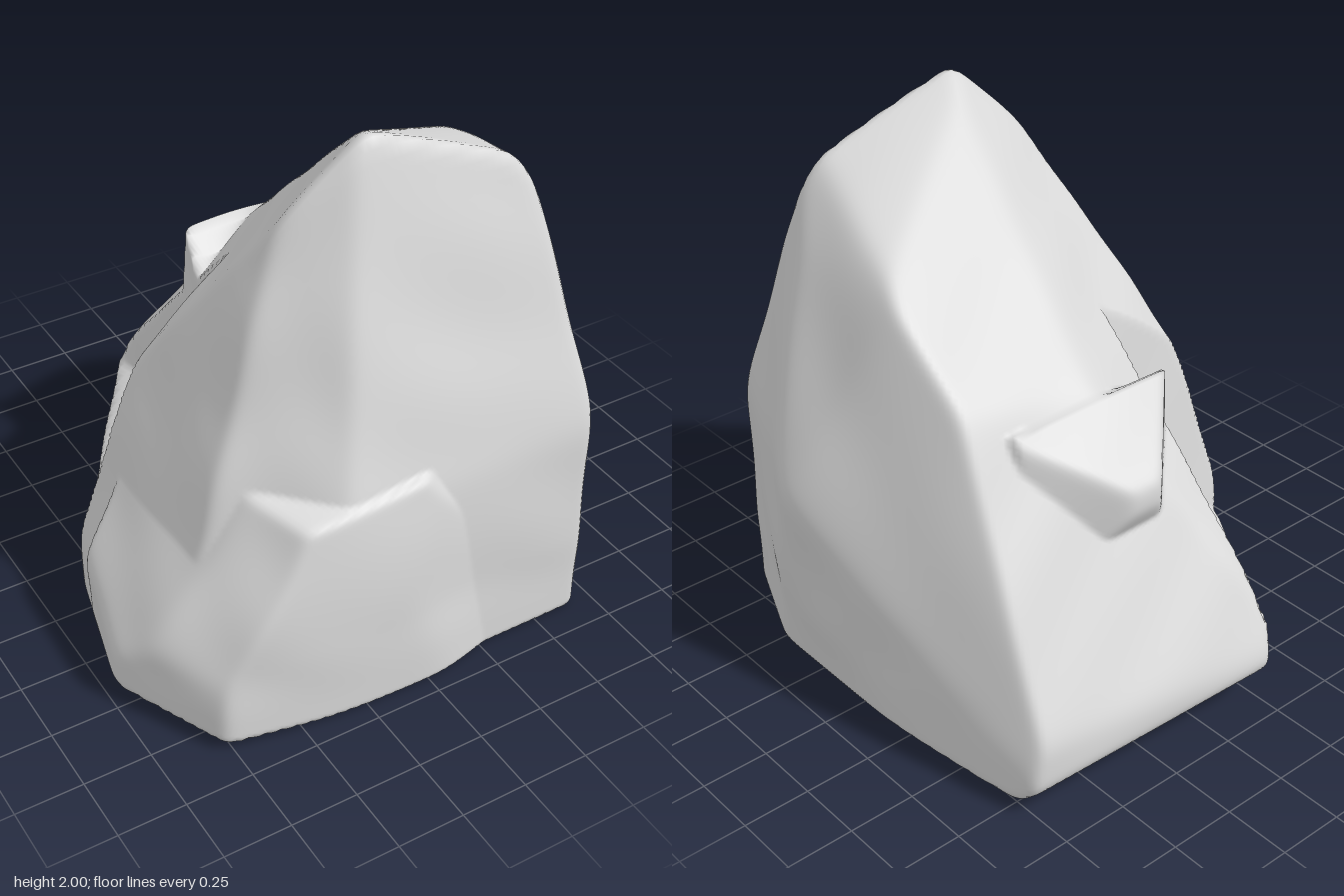
import * as THREE from 'three';
import { mergeVertices } from 'three/addons/utils/BufferGeometryUtils.js';

// The boulder is a union of convex blocks, each cut by planes, shaped by
// casting rays outwards from a point in its core.
const core = new THREE.Vector3(0.1, 0.4, 0.15);

// plane(normal, point): one flat cut of the stone
function plane(nx, ny, nz, px, py, pz) {
  const n = new THREE.Vector3(nx, ny, nz).normalize();
  return { n, d: n.dot(new THREE.Vector3(px, py, pz).sub(core)) };
}

const backSlope = plane(0, 0.743, -0.669, 0, 1.83, 0.27);
const underside = [
  plane(0, -1, 0, 0, 0, 0),
  plane(-0.05, -1, -0.05, 0.1, 0.01, 0.55),
  plane(0.3, -1, 0, 0.7, 0.01, 0),
];
const leftFoot = plane(-0.97, 0, -0.24, -0.91, 0.2, 0.15);
const leftCorner = plane(-0.89, 0, 0.45, -0.93, 0.2, 0.58);

const mainBlock = [
  ...underside,
  backSlope,
  // summit
  plane(0.36, 0.9, -0.25, -0.04, 2.015, 0.55),
  plane(-0.64, 0.77, 0, -0.13, 1.98, 0.5),
  // front
  plane(0, 0.26, 0.97, 0, 0.9, 0.865),
  plane(0, 0, 1, 0, 0.5, 0.89),
  plane(-0.6, 0.3, 0.74, -0.28, 1.75, 0.53),
  // right side
  plane(0.88, 0.25, 0.4, 0.56, 1.72, 0.6),
  plane(0.83, 0.56, 0, 0.5, 1.79, 0),
  plane(0.93, 0.366, 0, 0.9, 0.93, 0),
  plane(0.913, 0, 0.41, 0.68, 0.5, 0.86),
  plane(0.99, -0.1, 0, 0.93, 0.58, 0),
  plane(0.92, 0.25, -0.3, 0.66, 1, -0.5),
  plane(0.985, 0, -0.17, 0.935, 0.5, 0.1),
  // back
  plane(0.55, 0.45, -0.7, 0.68, 1, -0.55),
  plane(0.08, 0.47, -0.88, 0.1, 0.8, -0.65),
  plane(0.11, 0, -0.99, -0.25, 0.2, -0.98),
  plane(0, -0.77, -0.64, 0, 0.2, -0.98),
  // slope above the notch
  plane(-0.5, 0.6, -0.62, -0.2, 1.25, -0.12),
  // left side
  plane(-0.945, 0.327, 0, -0.32, 1.82, 0),
  plane(-0.82, 0, -0.57, -0.48, 0.1, -0.61),
  leftFoot,
  leftCorner,
];

// low bulge on the front left
const frontBulge = [
  ...underside,
  plane(-0.1, 0.95, 0.25, -0.2, 0.86, 0.9),
  plane(-0.04, 0.15, 1, -0.2, 0.5, 0.955),
  plane(0, -0.05, 1, 0, 0.5, 0.965),
  plane(-0.15, 0, 0.99, -0.45, 0.4, 0.93),
  plane(0.25, 0.05, 0.97, -0.08, 0.5, 0.955),
  plane(0.6, 0.45, 0.66, 0, 0.82, 0.93),
  plane(1, 0, 0, 0.4, 0.4, 0),
  plane(-0.78, 0.42, 0.46, -0.45, 0.84, 0.92),
  plane(-0.85, 0.52, 0, -0.71, 0.66, 0.4),
  plane(-0.3, 0, -0.95, -0.6, 0.4, 0),
  leftFoot,
  leftCorner,
];

// overhanging lip on the back
const backLip = [
  ...underside,
  backSlope,
  plane(0, 0.7, 0.7, 0, 1.15, -0.4),
  plane(0, 0, -1, 0.15, 0.95, -0.7),
  plane(0, -0.5, -0.85, 0.15, 0.85, -0.69),
  plane(0.6, 0, -0.8, 0.22, 1, -0.68),
  plane(-0.7, 0, -0.7, 0.05, 1, -0.68),
  plane(1, 0, 0, 0.5, 1, 0),
  plane(-1, 0, 0, -0.22, 1, 0),
];

// the notch removes the stone lying outside all three of these
const notch = [
  plane(-0.98, 0.12, -0.08, -0.21, 1.2, -0.15),
  plane(-0.2, 0.12, -0.97, -0.21, 0.9, -0.14),
  plane(-0.5, 0.85, -0.15, -0.22, 0.5, -0.12),
];

// inverse distance to a plane along a ray
const inv = (p, dir) => Math.max(p.n.dot(dir) / p.d, 1e-4);

// distance to the surface of a convex block, with slightly worn edges
function reach(block, dir) {
  let sum = 0;
  for (const p of block) sum += inv(p, dir) ** 80;
  return sum ** (-1 / 80);
}

function createBoulderGeometry() {
  const sphere = new THREE.IcosahedronGeometry(1, 72);
  sphere.deleteAttribute('normal');
  sphere.deleteAttribute('uv');
  const geo = mergeVertices(sphere, 1e-5);
  const pos = geo.attributes.position;
  const dir = new THREE.Vector3();
  const p = new THREE.Vector3();
  for (let i = 0; i < pos.count; i++) {
    dir.fromBufferAttribute(pos, i).normalize();
    const body = Math.max(...[mainBlock, frontBulge, backLip].map((b) => reach(b, dir)));
    const kept = Math.max(...notch.map((cut) => 1 / inv(cut, dir)));
    const r = Math.min(body, kept);
    p.copy(dir).multiplyScalar(r).add(core);
    // gentle weathering, fading out towards the flat underside
    const wear = Math.sin(p.x * 7 + p.y * 4) * Math.sin(p.y * 6 - p.z * 5 + 1)
      + 0.6 * Math.sin(p.z * 11 + p.x * 5 + 2) * Math.sin(p.y * 10 + p.x * 6);
    p.addScaledVector(dir, 0.008 * wear * THREE.MathUtils.smoothstep(p.y, 0.08, 0.35));
    pos.setXYZ(i, p.x, p.y, p.z);
  }
  geo.computeVertexNormals();
  return geo;
}

export function createModel() {
  const group = new THREE.Group();
  group.name = 'rock';
  const stone = new THREE.MeshStandardMaterial({ color: 0xdadada });
  stone.name = 'pale grey stone';
  const boulder = new THREE.Mesh(createBoulderGeometry(), stone);
  boulder.name = 'boulder';
  group.add(boulder);
  return group;
}
